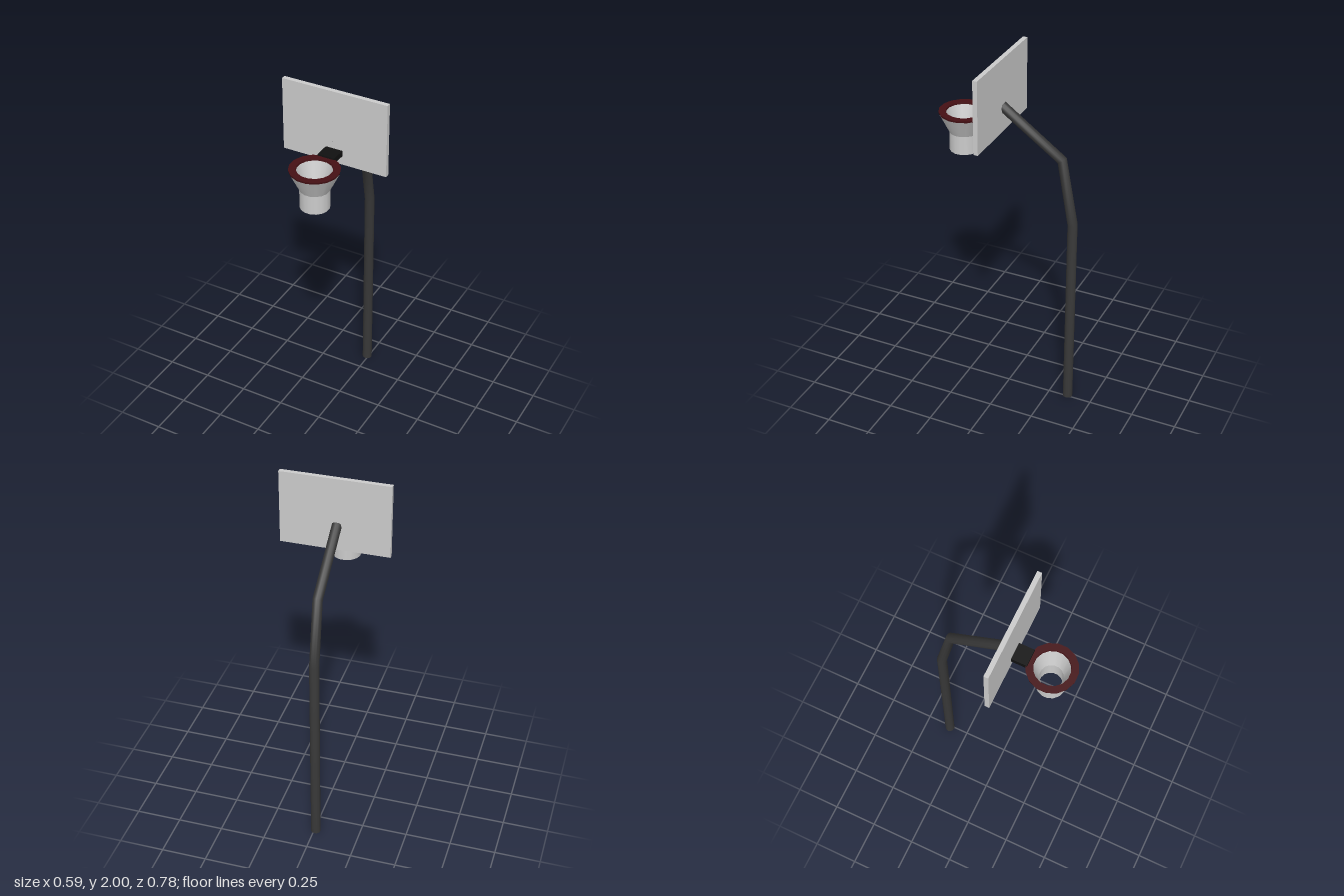
import * as THREE from 'three';

const mat = (color) => new THREE.MeshStandardMaterial({ color });

function add(parent, name, geometry, material) {
  const mesh = new THREE.Mesh(geometry, material);
  mesh.name = name;
  parent.add(mesh);
  return mesh;
}

// Bent pipe: the rings of a cylinder are moved onto a path and tilted by half of each bend
function bentPole(radius, path) {
  const rows = path.length - 1;
  const geometry = new THREE.CylinderGeometry(radius, radius, 1, 12, rows);
  const pos = geometry.attributes.position;
  const normal = geometry.attributes.normal;
  const axis = new THREE.Vector3(1, 0, 0);
  const v = new THREE.Vector3();
  for (let i = 0; i < pos.count; i++) {
    const [y, z, tilt] = path[Math.round((pos.getY(i) + 0.5) * rows)];
    v.set(pos.getX(i), 0, pos.getZ(i)).applyAxisAngle(axis, tilt);
    pos.setXYZ(i, v.x, v.y + y, v.z + z);
    v.fromBufferAttribute(normal, i).applyAxisAngle(axis, tilt);
    normal.setXYZ(i, v.x, v.y, v.z);
  }
  return geometry;
}

// Closed ring-shaped body turned from a profile, with a sharp edge at every profile point
function turned(parent, name, profile, material) {
  const sides = 16;
  const group = new THREE.Group();
  group.name = name;
  profile.forEach((p, i) => {
    const q = profile[(i + 1) % profile.length];
    const points = [new THREE.Vector2(...p), new THREE.Vector2(...q)];
    add(group, name + 'Band', new THREE.LatheGeometry(points, sides, Math.PI / sides), material);
  });
  parent.add(group);
  return group;
}

export function createModel() {
  const model = new THREE.Group();
  model.name = 'basketballHoop';

  // Pole: y, z and tilt of each ring
  const pole = add(model, 'pole', bentPole(0.027, [
    [0, -0.36, 0],
    [1.13, -0.36, 0.15],
    [1.495, -0.293, 0.6],
    [1.735, 0.045, 0.95],
  ]), mat(0x383838));
  pole.position.x = -0.009;

  // Backboard
  const board = add(model, 'backboard', new THREE.BoxGeometry(0.59, 0.405, 0.025), mat(0xcccccc));
  board.position.set(0, 1.7975, 0.0475);

  // Bracket between backboard and rim
  const bracket = add(model, 'bracket', new THREE.BoxGeometry(0.094, 0.032, 0.09), mat(0x111111));
  bracket.position.set(0, 1.66, 0.1);

  // Rim and net, profiles as radius and height
  const hoop = new THREE.Group();
  hoop.name = 'hoop';
  hoop.position.z = 0.26;
  model.add(hoop);
  turned(hoop, 'rim', [[0.13, 1.657], [0.132, 1.667], [0.094, 1.667], [0.093, 1.657]], mat(0x451014));
  turned(hoop, 'net', [
    [0.078, 1.445], [0.078, 1.55], [0.13, 1.657],
    [0.093, 1.657], [0.06, 1.55], [0.06, 1.445],
  ], mat(0xcccccc));

  return model;
}
